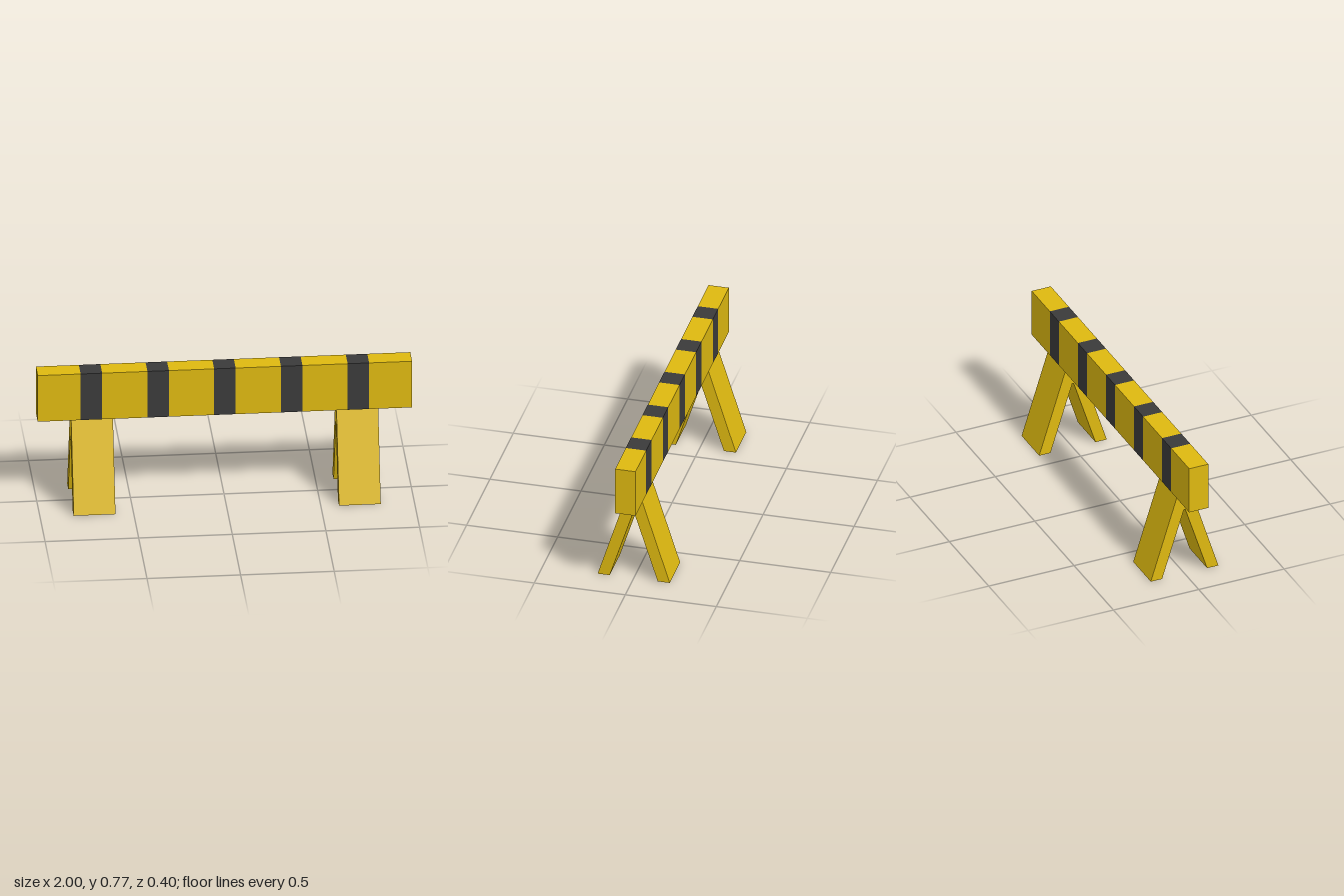
import * as THREE from 'three';

const yellow = new THREE.MeshStandardMaterial({ color: 0xdeb910 });
yellow.name = 'safety yellow';
const black = new THREE.MeshStandardMaterial({ color: 0x3a3a3a });
black.name = 'stripe black';

const BEAM_BOTTOM = 0.495, BEAM_TOP = 0.767, BEAM_DEPTH = 0.112;
const STRIPES = 5, STRIPE_SPACING = 0.3565, STRIPE_HALF = 0.0575;

// One beam, cut along its length into alternating yellow and black bands
function createBeam() {
  const cuts = [-1];
  for (let i = 0; i < STRIPES; i++) {
    const x = (i - (STRIPES - 1) / 2) * STRIPE_SPACING;
    cuts.push(x - STRIPE_HALF, x + STRIPE_HALF);
  }
  cuts.push(1);
  const bands = cuts.length - 1;
  const geometry = new THREE.BoxGeometry(2, BEAM_TOP - BEAM_BOTTOM, BEAM_DEPTH, bands, 1, 1);
  const position = geometry.attributes.position;
  for (let i = 0; i < position.count; i++) {
    position.setX(i, cuts[Math.round((position.getX(i) + 1) / 2 * bands)]);
  }
  // Two end faces stay yellow; the four long faces alternate band by band
  geometry.clearGroups();
  geometry.addGroup(0, 12, 0);
  for (let side = 0; side < 4; side++) {
    for (let b = 0; b < bands; b++) {
      geometry.addGroup(12 + (side * bands + b) * 6, 6, b % 2);
    }
  }
  const beam = new THREE.Mesh(geometry, [yellow, black]);
  beam.name = 'stripedBeam';
  beam.position.y = (BEAM_BOTTOM + BEAM_TOP) / 2;
  return beam;
}

// A-shaped trestle profile extruded along the beam
function createTrestleGeometry() {
  const half = [[0.004, 0.4], [0.132, 0], [0.198, 0], [0.042, BEAM_BOTTOM]];
  const mirrored = half.map(([z, y]) => [-z, y]).reverse();
  const shape = new THREE.Shape([...half, ...mirrored].map(([z, y]) => new THREE.Vector2(z, y)));
  const width = 0.223;
  const geometry = new THREE.ExtrudeGeometry(shape, { depth: width, bevelEnabled: false });
  return geometry.translate(0, 0, -width / 2).rotateY(Math.PI / 2);
}

export function createModel() {
  const model = new THREE.Group();
  model.name = 'roadBarrier';
  model.add(createBeam());

  // Matching trestles near both ends
  const trestleGeometry = createTrestleGeometry();
  for (const [name, side] of [['leftTrestle', 1], ['rightTrestle', -1]]) {
    const trestle = new THREE.Mesh(trestleGeometry, yellow);
    trestle.name = name;
    trestle.position.x = side * 0.7085;
    model.add(trestle);
  }
  return model;
}
